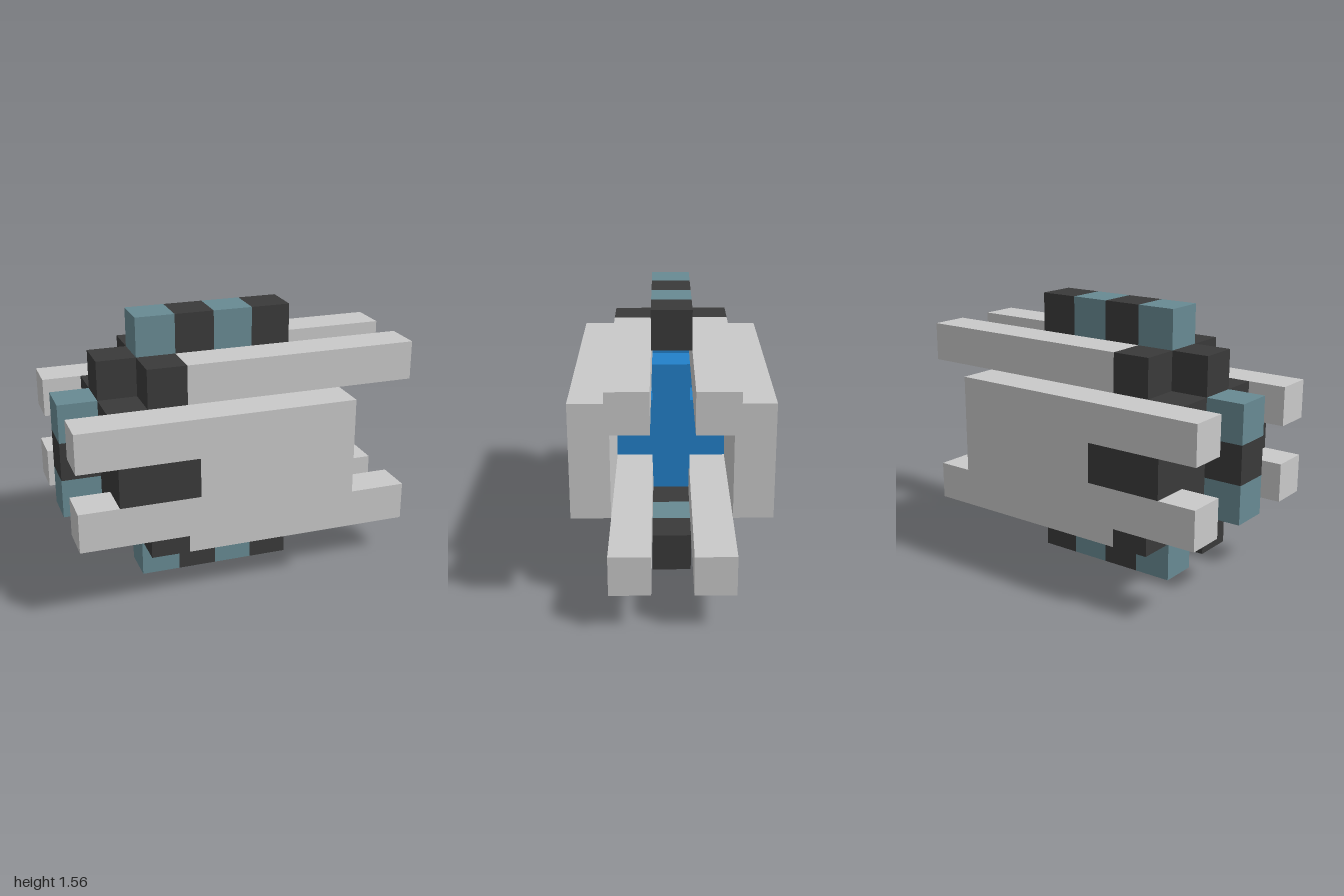
import * as THREE from 'three';

const U = 2 / 9; // one block
const mat = (name, color) => {
  const m = new THREE.MeshStandardMaterial({ color });
  m.name = name;
  return m;
};

export function createModel() {
  const group = new THREE.Group();
  const grey = mat('lightGrey', 0xc9c9c9);
  const dark = mat('charcoal', 0x3a3a3a);
  const teal = mat('slateTeal', 0x688a93);
  const blue = mat('glowBlue', 0x2280c9);

  // Box of blocks: x counted from the nose end, y from the ground, z from the middle
  const block = (name, m, x, y, z, nx = 1, ny = 1, nz = 1) => {
    const mesh = new THREE.Mesh(new THREE.BoxGeometry(nx * U, ny * U, nz * U), m);
    mesh.position.set(-1 + (x + nx / 2) * U, (y + ny / 2) * U, z * U);
    mesh.name = name;
    group.add(mesh);
  };

  // Side plates: C-shaped, with a notch open towards the nose
  const outline = [[0, 2], [7, 2], [7, 5], [0, 5], [0, 4], [3, 4], [3, 3], [0, 3]];
  const shape = new THREE.Shape(outline.map(([x, y]) => new THREE.Vector2(-1 + x * U, y * U)));
  for (const side of [-1, 1]) {
    const geo = new THREE.ExtrudeGeometry(shape, { depth: U, bevelEnabled: false });
    geo.translate(0, 0, (side * 2 - 0.5) * U);
    const plate = new THREE.Mesh(geo, grey);
    plate.name = 'sidePlate';
    group.add(plate);
    block('notchFiller', dark, 1, 3, side * 2, 2);

    // Long bars above and below, each with a dark root
    for (const y of [1, 5]) {
      block('longBar', grey, 3, y, side, 6);
      block('barRoot', dark, 2, y, side);
    }
  }

  // Striped ridges on top and underneath
  for (const y of [0, 6]) {
    for (let i = 0; i < 4; i++) block('ridgeBlock', i % 2 ? dark : teal, 2 + i, y, 0);
  }

  // Stepped nose
  for (let y = 2; y <= 4; y++) block('noseBlock', y === 3 ? dark : teal, 0, y, 0);
  block('noseBase', dark, 1, 2, 0, 1, 3, 3);
  for (const y of [1, 5]) block('noseShoulder', dark, 1, y, 0);

  // Glowing core inside the shell
  block('core', blue, 2, 2, 0, 1, 3, 3);
  for (const y of [1, 5]) block('coreEnd', blue, 2, y, 0);
  block('coreUpright', blue, 3, 2, 0, 1, 3, 1);
  for (const z of [-1, 1]) block('coreArm', blue, 3, 3, z);

  return group;
}
